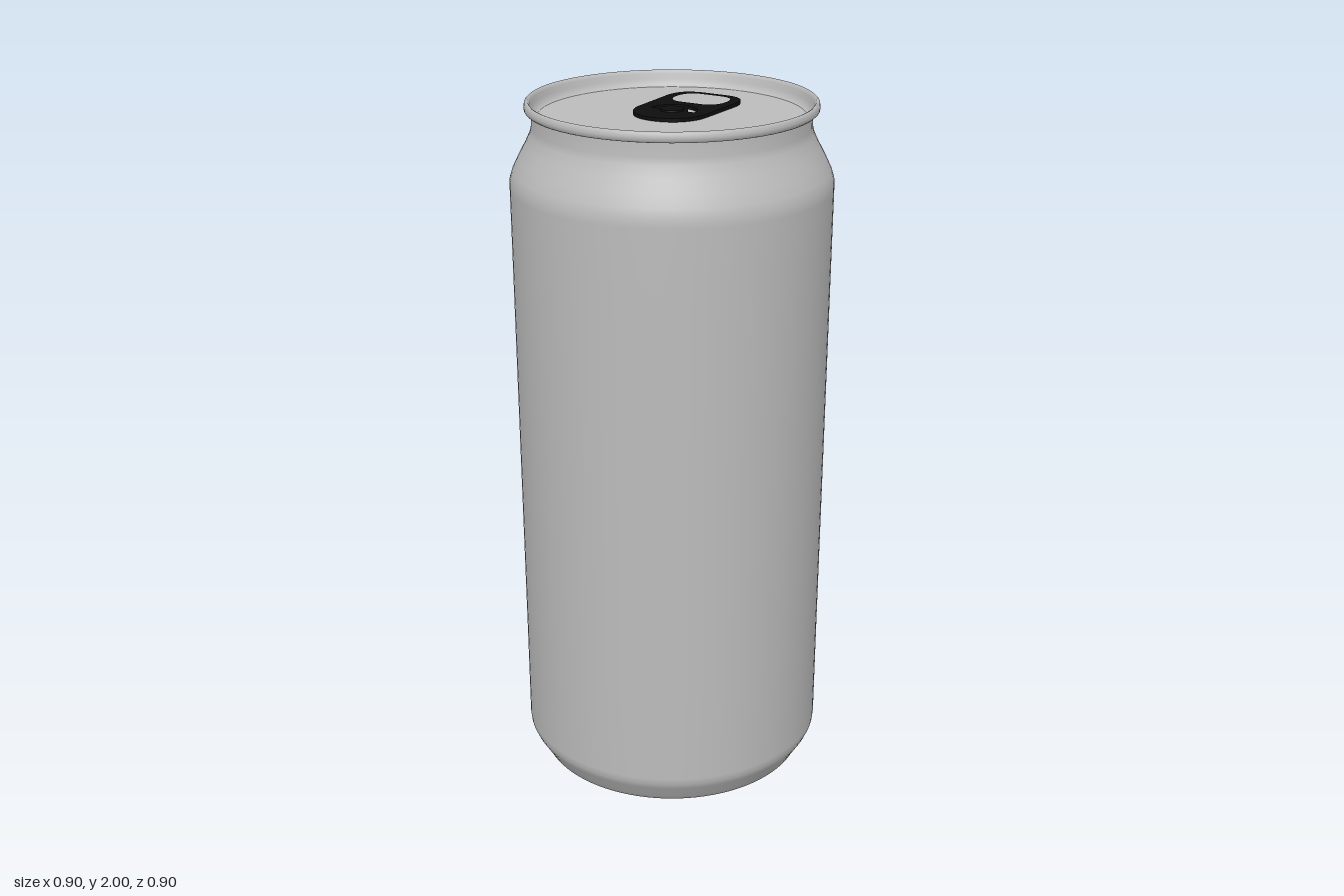
import * as THREE from 'three';

const LID_Y = 1.955;

export function createModel() {
  const can = new THREE.Group();
  can.name = 'drinkCan';
  const aluminium = new THREE.MeshStandardMaterial({ color: 0xbcbcbc });
  aluminium.name = 'aluminium';
  const black = new THREE.MeshStandardMaterial({ color: 0x0e0e0e });
  black.name = 'black';

  const add = (name, geometry, material, y = 0) => {
    const mesh = new THREE.Mesh(geometry, material);
    mesh.name = name;
    mesh.position.y = y;
    can.add(mesh);
    return mesh;
  };
  const lathe = (points, segments = 96) =>
    new THREE.LatheGeometry(points.map(([r, y]) => new THREE.Vector2(r, y)), segments);

  // Shallow domed base, standing on its outer edge
  add('base', lathe([
    [0, 0.035], [0.12, 0.032], [0.24, 0.023], [0.33, 0.011], [0.375, 0.002], [0.39, 0],
  ]), aluminium);

  // Wall with chamfered foot, slight taper and sloping shoulder
  add('body', lathe([
    [0.39, 0], [0.398, 0.005], [0.405, 0.018], [0.432, 0.062], [0.44, 0.08], [0.442, 0.1],
    [0.443, 0.4], [0.446, 1.0], [0.449, 1.6], [0.45, 1.76], [0.449, 1.785], [0.441, 1.81],
    [0.425, 1.843], [0.405, 1.88], [0.391, 1.91], [0.386, 1.93], [0.385, 1.972],
  ]), aluminium);

  // Rolled rim
  add('rim', lathe([
    [0.385, 1.97], [0.399, 1.971], [0.404, 1.976], [0.405, 1.985], [0.403, 1.995],
    [0.398, 2], [0.393, 1.998], [0.389, 1.99], [0.386, 1.975], [0.38, 1.96], [0.37, LID_Y],
  ]), aluminium);

  // Recessed lid
  add('lid', lathe([[0.37, LID_Y], [0.2, LID_Y], [0, LID_Y]]), aluminium);

  // Pull tab outline: rounded top end, round lower end
  const tab = new THREE.Shape();
  tab.moveTo(-0.11, 0.16);
  tab.bezierCurveTo(-0.11, 0.215, -0.085, 0.242, -0.035, 0.242);
  tab.lineTo(0.035, 0.242);
  tab.bezierCurveTo(0.085, 0.242, 0.11, 0.215, 0.11, 0.16);
  tab.lineTo(0.106, 0);
  tab.bezierCurveTo(0.103, -0.065, 0.06, -0.105, 0, -0.105);
  tab.bezierCurveTo(-0.06, -0.105, -0.103, -0.065, -0.106, 0);
  tab.closePath();

  // Finger hole
  const finger = new THREE.Path();
  finger.moveTo(-0.08, 0.162);
  finger.bezierCurveTo(-0.08, 0.2, -0.065, 0.222, -0.03, 0.222);
  finger.lineTo(0.03, 0.222);
  finger.bezierCurveTo(0.065, 0.222, 0.08, 0.2, 0.08, 0.162);
  finger.bezierCurveTo(0.08, 0.125, 0.06, 0.104, 0.03, 0.104);
  finger.lineTo(-0.03, 0.104);
  finger.bezierCurveTo(-0.06, 0.104, -0.08, 0.125, -0.08, 0.162);

  // Arched slot around the rivet
  const slot = new THREE.Path();
  slot.moveTo(0.07, 0.003);
  slot.absarc(0, 0.003, 0.068, 0, Math.PI, false);
  slot.lineTo(-0.05, 0.003);
  slot.absarc(0, 0.003, 0.043, Math.PI, 0, true);
  slot.closePath();
  tab.holes.push(finger, slot);

  const tabGeometry = new THREE.ExtrudeGeometry(tab, {
    depth: 0.01, bevelEnabled: false, curveSegments: 20,
  });
  tabGeometry.rotateX(-Math.PI / 2);
  add('pullTab', tabGeometry, black, LID_Y + 0.003);

  // Rivet holding the tab
  add('rivet', new THREE.CylinderGeometry(0.032, 0.035, 0.018, 32), black, LID_Y + 0.009);

  return can;
}
